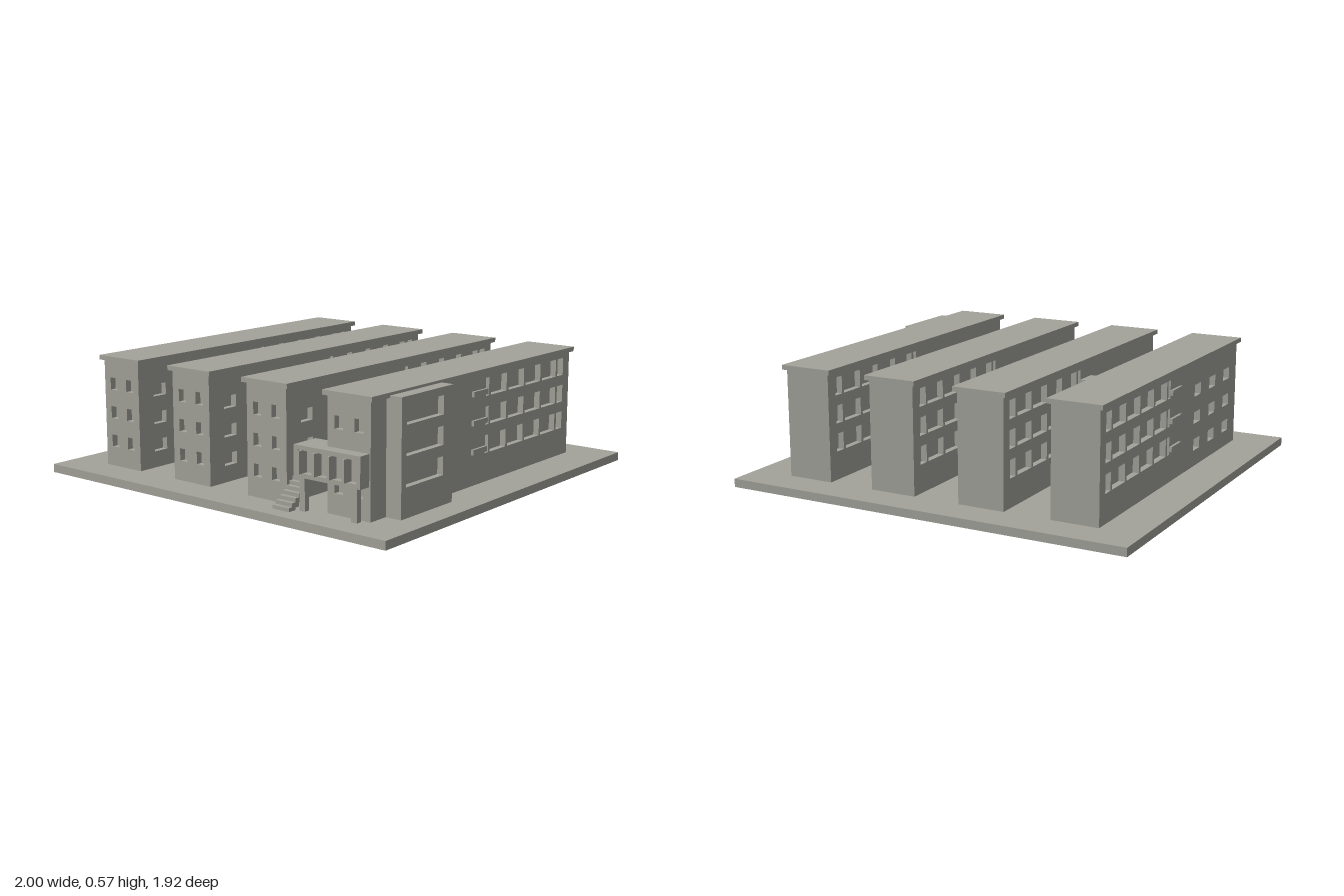
import * as THREE from 'three';

const DEPTH = 0.03; // window reveal
const GROUND = 0.04;
const WALL_TOP = 0.55;
const HALF_W = 0.114;
const HALF_L = 0.795;

export function createModel() {
  const root = new THREE.Group();
  root.name = 'schoolBuilding';
  const concrete = new THREE.MeshStandardMaterial({ color: 0xa3a39b });
  concrete.name = 'concreteGrey';

  const add = (parent, geo, name) => {
    const mesh = new THREE.Mesh(geo, concrete);
    mesh.name = name;
    parent.add(mesh);
    return mesh;
  };
  const box = (parent, name, x0, x1, y0, y1, z0, z1) => {
    const mesh = add(parent, new THREE.BoxGeometry(x1 - x0, y1 - y0, z1 - z0), name);
    mesh.position.set((x0 + x1) / 2, (y0 + y1) / 2, (z0 + z1) / 2);
    return mesh;
  };

  // Wall panel in the XY plane with rectangular window holes [u0, u1, y0, y1]
  const panel = (u0, u1, y0, y1, holes, depth = DEPTH) => {
    const rect = (P, a, b, c, d) => {
      const p = new P();
      p.moveTo(a, c); p.lineTo(b, c); p.lineTo(b, d); p.lineTo(a, d); p.closePath();
      return p;
    };
    const shape = rect(THREE.Shape, u0, u1, y0, y1);
    for (const h of holes) shape.holes.push(rect(THREE.Path, ...h));
    return new THREE.ExtrudeGeometry(shape, { depth, bevelEnabled: false });
  };
  // Side wall facing s * x; its holes are given as [z0, z1, y0, y1]
  const sideWall = (parent, name, s, xInner, z0, z1, y0, y1, holes) => {
    const flip = (a, b) => (s > 0 ? [-b, -a] : [a, b]);
    const geo = panel(...flip(z0, z1), y0, y1, holes.map(([a, b, c, d]) => [...flip(a, b), c, d]));
    const mesh = add(parent, geo, name);
    mesh.rotation.y = s * Math.PI / 2;
    mesh.position.x = xInner;
  };

  box(root, 'groundSlab', -1, 1, 0, GROUND, -0.96, 0.96);

  // Window layouts for three storeys
  const storeys = [0, 1, 2].map(i => i * 0.133);
  const classroomBays = [[-0.082, -0.056], [-0.23, -0.097], [-0.38, -0.246],
    [-0.528, -0.395], [-0.672, -0.543], [-0.74, -0.687]];
  const bigWindows = storeys.flatMap(y =>
    classroomBays.map(([a, b]) => [a, b, 0.174 + y, 0.258 + y]));
  const smallWindows = centres => storeys.flatMap(y =>
    centres.map(z => [z - 0.04, z + 0.04, 0.118 + y, 0.175 + y]));
  const frontWindows = storeys.flatMap(y => [-0.053, 0.053].map(x =>
    [x - 0.023, x + 0.023, 0.133 + y * 1.04, 0.191 + y * 1.04]));

  // Four long wings
  const centres = [-0.683, -0.228, 0.228, 0.683];
  centres.forEach((cx, i) => {
    const wing = new THREE.Group();
    wing.name = 'wing' + (i + 1);
    wing.position.x = cx;
    root.add(wing);
    const inner = HALF_W - DEPTH;
    box(wing, 'wallCore', -inner, inner, GROUND, WALL_TOP, -HALF_L, HALF_L - DEPTH);
    for (const s of [-1, 1]) {
      const towerSide = i === 3 && s > 0;
      const holes = bigWindows.concat(smallWindows(towerSide ? [0.28] : [0.28, 0.47, 0.66]));
      sideWall(wing, s > 0 ? 'leftWall' : 'rightWall', s, s * inner,
        -HALF_L, HALF_L, GROUND, WALL_TOP, holes);
    }
    const front = add(wing, panel(-inner, inner, GROUND, WALL_TOP, frontWindows), 'frontWall');
    front.position.z = HALF_L - DEPTH;
    box(wing, 'flatRoof', -0.131, 0.131, WALL_TOP, 0.572, -0.81, 0.81);
  });

  // Cross slabs run through all wings and end as short ledges outside
  for (const y of storeys) {
    box(root, 'crossSlab', -0.81, 0.81, 0.186 + y, 0.211 + y, -0.056, 0.056);
  }

  // Covered bridges between neighbouring wings
  for (let i = 0; i < 3; i++) {
    const bridge = new THREE.Group();
    bridge.name = 'bridge' + (i + 1);
    root.add(bridge);
    const x0 = centres[i] + HALF_W;
    const x1 = centres[i + 1] - HALF_W;
    const mid = (x0 + x1) / 2;
    for (const s of [-1, 1]) {
      for (const y of storeys.slice(0, 2)) {
        const z = s * 0.0585;
        box(bridge, 'parapet', x0, x1, 0.19 + y, 0.241 + y, z - 0.0055, z + 0.0055);
      }
      for (const dx of [-0.088, 0, 0.088]) {
        const x = mid + dx;
        box(bridge, 'post', x - 0.007, x + 0.007, 0.2, 0.455, s * 0.046 - 0.007, s * 0.046 + 0.007);
      }
    }
  }

  // Stair tower on the outer side wall
  const tower = new THREE.Group();
  tower.name = 'stairTower';
  root.add(tower);
  const towerX = 0.876;
  box(tower, 'towerCore', 0.79, towerX - DEPTH, GROUND, 0.56, 0.32, 0.69);
  sideWall(tower, 'towerWall', 1, towerX - DEPTH, 0.32, 0.69, GROUND, 0.56,
    storeys.map(y => [0.39, 0.656, 0.174 + y, 0.258 + y]));

  // Raised entrance porch with glazed front, fins and posts
  const porch = new THREE.Group();
  porch.name = 'entrancePorch';
  root.add(porch);
  box(porch, 'porchBody', 0.433, 0.79, 0.19, 0.33, 0.79, 0.825);
  box(porch, 'porchSide', 0.433, 0.575, 0.19, 0.33, 0.71, 0.79);
  const porchFront = add(porch, panel(0.433, 0.79, 0.19, 0.33, [[0.455, 0.768, 0.21, 0.31]]), 'porchFront');
  porchFront.position.z = 0.825;
  for (let i = 0; i < 4; i++) {
    const x = 0.476 + i * 0.08;
    box(porch, 'fin', x - 0.006, x + 0.006, 0.21, 0.31, 0.825, 0.876);
  }
  for (const x of [0.467, 0.747]) {
    box(porch, 'porchPost', x - 0.015, x + 0.015, GROUND, 0.19, 0.814, 0.841);
  }

  // Entrance stairs climbing toward the back
  const stairs = new THREE.Group();
  stairs.name = 'entranceStairs';
  root.add(stairs);
  for (let i = 0; i < 10; i++) {
    const top = GROUND + 0.017 * (i + 1);
    const z1 = 0.888 - i * 0.022;
    box(stairs, 'step', 0.34, 0.433, Math.max(GROUND, top - 0.04), top, z1 - 0.022, z1);
  }

  return root;
}
